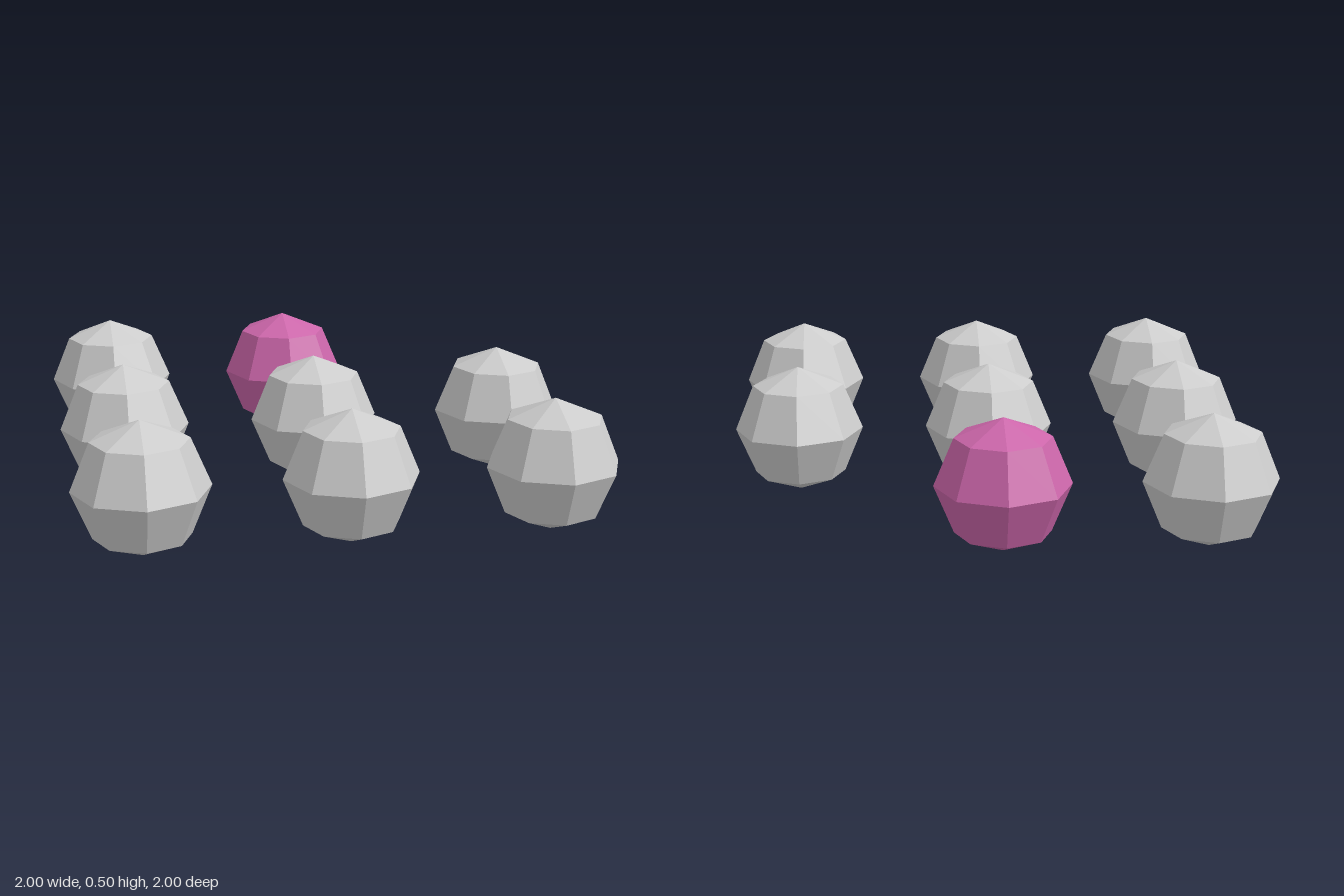
import * as THREE from 'three';

export function createModel() {
  const group = new THREE.Group();
  group.name = 'ballGrid';

  const grey = new THREE.MeshStandardMaterial({ color: 0xcccccc, flatShading: true });
  grey.name = 'light grey';
  const pink = new THREE.MeshStandardMaterial({ color: 0xcc66aa, flatShading: true });
  pink.name = 'pink';

  const radius = 0.25;
  const spacing = 0.75;
  const ballGeometry = new THREE.SphereGeometry(radius, 8, 4);

  // Three by three grid of faceted balls, with the back left corner empty
  for (let row = -1; row <= 1; row++) {
    for (let column = -1; column <= 1; column++) {
      if (row === -1 && column === 1) continue;
      const accent = row === -1 && column === 0;
      const ball = new THREE.Mesh(ballGeometry, accent ? pink : grey);
      ball.name = accent ? 'pinkBall' : 'greyBall';
      ball.position.set(column * spacing, radius, row * spacing);
      group.add(ball);
    }
  }
  return group;
}
